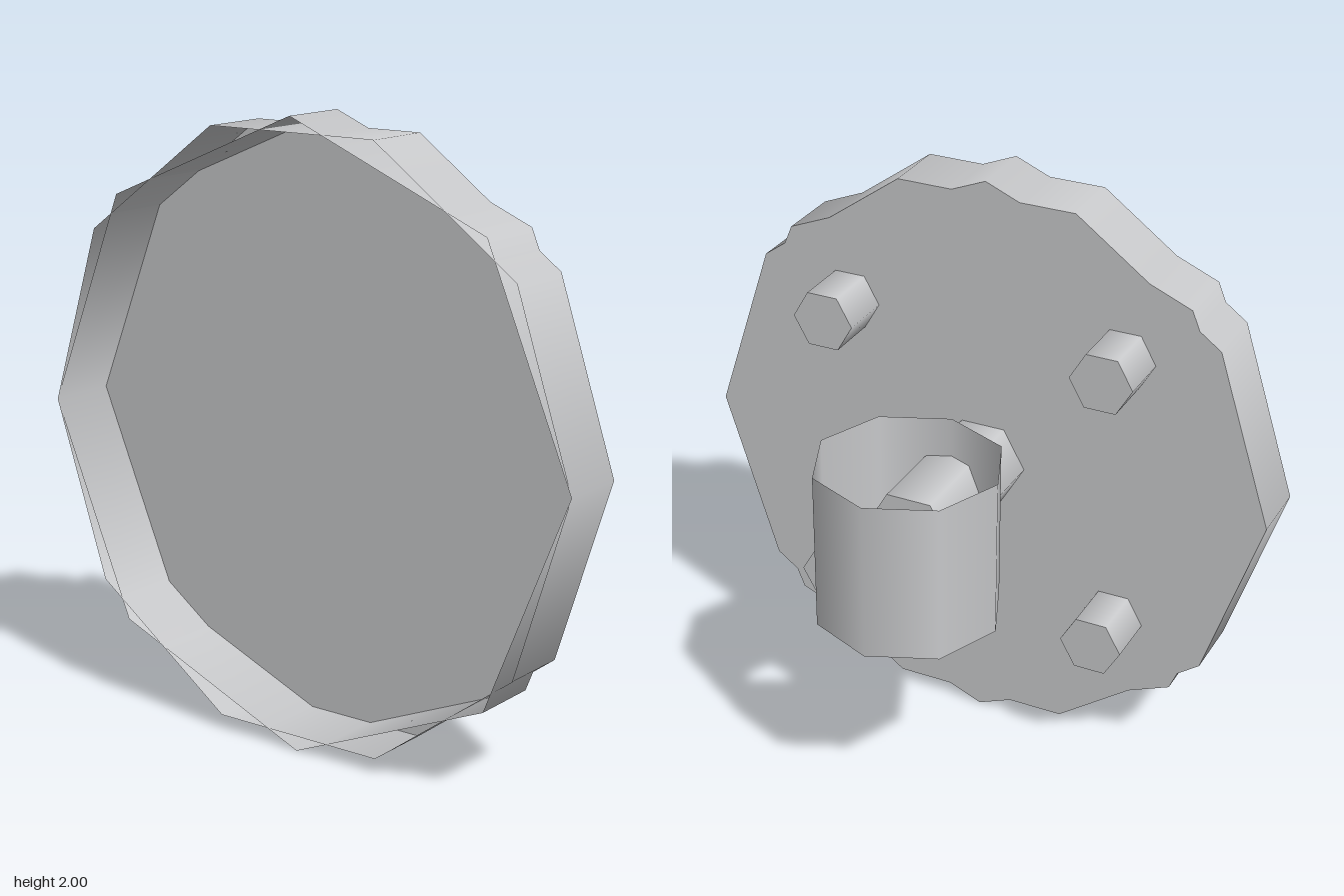
import * as THREE from 'three';

export function createModel() {
  const model = new THREE.Group();
  const steel = new THREE.MeshStandardMaterial({ color: 0xc8c9cb, side: THREE.DoubleSide });
  steel.name = 'grey steel';

  const add = (name, geometry, x, y, z) => {
    const mesh = new THREE.Mesh(geometry, steel);
    mesh.name = name;
    mesh.position.set(x, y, z);
    model.add(mesh);
  };

  // Cylinder lying along x
  const rod = (radius, length, sides, open = false) =>
    new THREE.CylinderGeometry(radius, radius, length, sides, 1, open).rotateZ(-Math.PI / 2);

  const face = -0.31, back = -0.54;

  // Flange: two overlapping polygonal shells, closed at the front and hollow behind
  for (const [name, sides] of [['Outer', 10], ['Inner', 8]]) {
    add('flangeRim' + name, rod(1, face - back, sides, true), (face + back) / 2, 1, 0);
    add('flangeFace' + name, new THREE.CircleGeometry(1, sides).rotateY(Math.PI / 2), face, 1, 0);
  }

  // Four hexagonal bolts
  for (const y of [0.51, 1.49]) {
    for (const z of [-0.49, 0.49]) add('bolt', rod(0.107, 0.19, 6), face + 0.095, y, z);
  }

  // Arm reaching into the open sleeve
  add('arm', rod(0.153, 0.54, 6), face + 0.27, 1, 0);
  add('sleeve', new THREE.CylinderGeometry(0.308, 0.308, 0.54, 8, 1, true), 0.23, 1, 0);

  return model;
}
